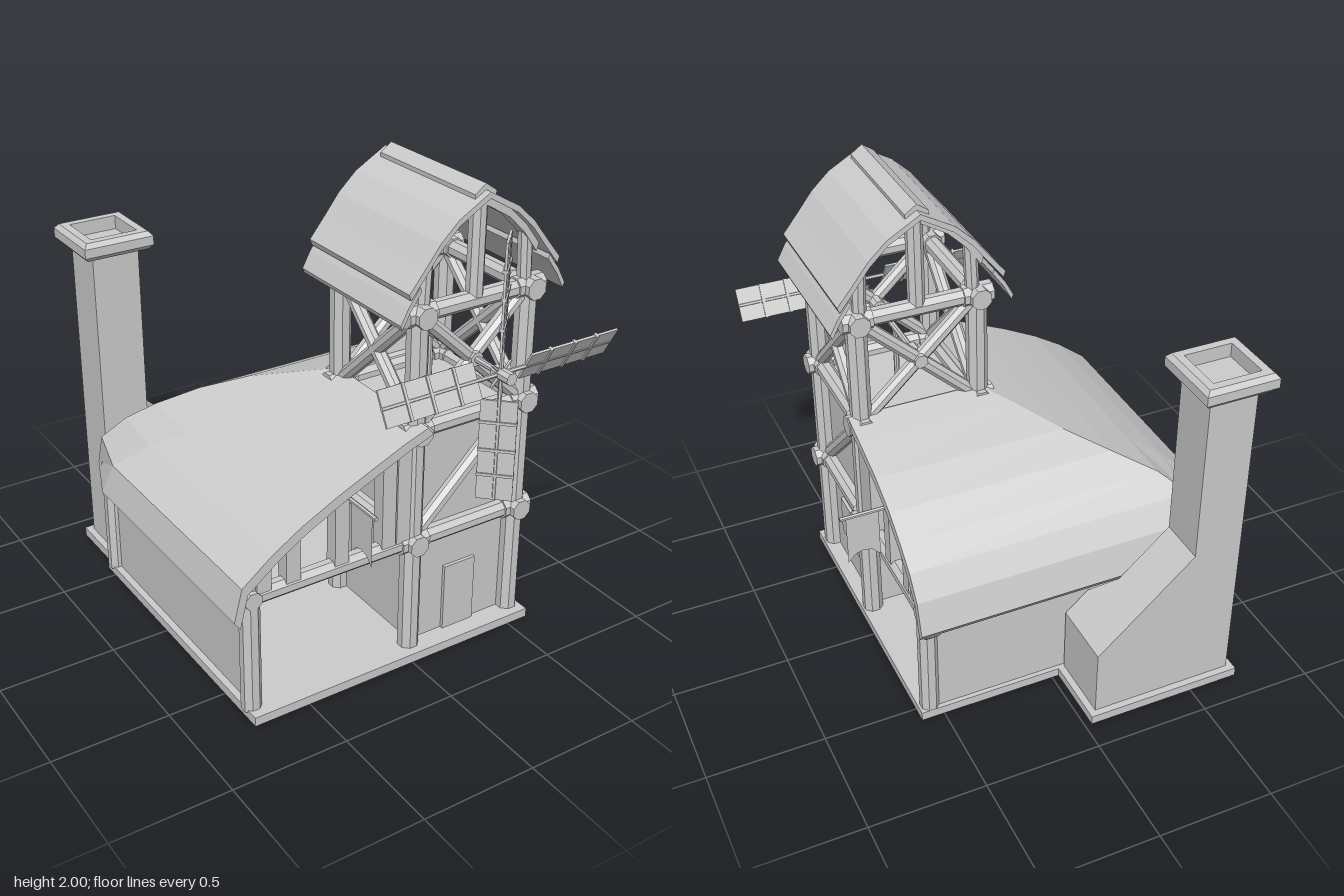
import * as THREE from 'three';

const mat = new THREE.MeshStandardMaterial({ color: 0xcccccc, flatShading: true, side: THREE.DoubleSide });
const V = (x, y, z) => new THREE.Vector3(x, y, z);

export function createModel() {
  const root = new THREE.Group();
  const add = (name, geo, parent = root) => {
    const m = new THREE.Mesh(geo, mat);
    m.name = name;
    parent.add(m);
    return m;
  };
  // Box given by its min and max corners
  const box = (name, x0, x1, y0, y1, z0, z1, parent) => {
    const g = new THREE.BoxGeometry(x1 - x0, y1 - y0, z1 - z0);
    return add(name, g.translate((x0 + x1) / 2, (y0 + y1) / 2, (z0 + z1) / 2), parent);
  };
  // Eight-sided timber from a to b
  const beam = (name, a, b, r = 0.038, sides = 8, parent = root) => {
    const d = b.clone().sub(a);
    const g = new THREE.CylinderGeometry(r, r, d.length(), sides).rotateY(Math.PI / sides);
    const m = add(name, g, parent);
    m.position.copy(a).add(b).multiplyScalar(0.5);
    m.quaternion.setFromUnitVectors(V(0, 1, 0), d.normalize());
    return m;
  };
  // Skin over closed cross-sections, with strip caps at both ends
  const skin = (name, rings) => {
    const n = rings[0].length, pos = [];
    const quad = (a, b, c, d) => [a, b, c, a, c, d].forEach(p => pos.push(p.x, p.y, p.z));
    for (let i = 0; i + 1 < rings.length; i++)
      for (let j = 0; j < n; j++) {
        const k = (j + 1) % n;
        quad(rings[i][j], rings[i][k], rings[i + 1][k], rings[i + 1][j]);
      }
    for (const [r, flip] of [[rings[0], true], [rings.at(-1), false]])
      for (let j = 0; j < n / 2 - 1; j++) {
        const q = [r[j], r[j + 1], r[n - 2 - j], r[n - 1 - j]];
        quad(...(flip ? q.reverse() : q));
      }
    const g = new THREE.BufferGeometry();
    g.setAttribute('position', new THREE.Float32BufferAttribute(pos, 3));
    g.computeVertexNormals();
    return add(name, g);
  };
  const rect = (x0, x1, z0, z1, y) => [V(x0, y, z1), V(x1, y, z1), V(x1, y, z0), V(x0, y, z0)];

  // Base slabs and house walls
  box('floorSlab', -0.75, 0.6, 0, 0.04, -0.57, 0.74);
  box('chimneySlab', -0.72, -0.03, 0, 0.04, -0.88, -0.57);
  box('leftWall', -0.72, -0.69, 0.04, 0.63, -0.54, 0.68);
  box('backWall', -0.7, 0.56, 0.04, 0.63, -0.55, -0.52);

  // House frame
  for (const [x, z] of [[-0.72, 0.66], [-0.72, -0.53], [0.55, -0.53]]) beam('housePost', V(x, 0.03, z), V(x, 0.56, z), 0.042);
  beam('frontBeam', V(-0.75, 0.545, 0.66), V(0.03, 0.545, 0.66));
  beam('sideBeam', V(0.55, 0.545, 0.14), V(0.55, 0.545, -0.56));
  beam('leftBeam', V(-0.72, 0.545, 0.7), V(-0.72, 0.545, -0.55));
  beam('backBeam', V(-0.74, 0.545, -0.53), V(0.59, 0.545, -0.53));

  // Curved house roof: left slope, chamfered hip, back slope
  const Y = [1.09, 1.05, 0.99, 0.92, 0.84, 0.76, 0.66, 0.52];
  const X = [0.03, -0.08, -0.22, -0.38, -0.54, -0.67, -0.8, -0.835];
  const Z = [0.13, 0, -0.18, -0.32, -0.43, -0.52, -0.59, -0.63];
  const hipA = [0, 0.06, 0.2, 0.3, 0.3, 0.28, 0.26, 0.25];
  const hipB = [0, 0, 0, 0, 0, 0.03, 0.07, 0.1];
  const section = (f, top = 0, depth = 0.032) => {
    const at = o => Y.map((y, i) => f(i, y - o * 1.1, o * 0.8));
    return [...at(top), ...at(top + depth).reverse()];
  };
  const frontAt = z => (i, y, o) => V(X[i] + o, y, z);
  const sideAt = x => (i, y, o) => V(x, y, Z[i] + o);
  skin('houseRoof', [
    section(frontAt(0.75)),
    section((i, y, o) => V(X[i] + o, y, Z[i] + hipA[i] + o)),
    section((i, y, o) => V(X[i] + hipB[i] + o, y, Z[i] + o)),
    section(sideAt(0.61)),
  ]);
  skin('frontRafter', [section(frontAt(0.69), 0.03), section(frontAt(0.63), 0.03)]);
  skin('sideRafter', [section(sideAt(0.58), 0.03), section(sideAt(0.52), 0.03)]);

  // Studs between beam and roof
  const roofY = (line, v) => {
    const i = Math.max(1, line.findIndex(p => p < v));
    return THREE.MathUtils.mapLinear(v, line[i - 1], line[i], Y[i - 1], Y[i]) - 0.03;
  };
  for (const x of [-0.67, -0.54, -0.32, -0.1, -0.03]) box('frontStud', x - 0.032, x + 0.032, 0.56, roofY(X, x - 0.03), 0.63, 0.69);
  for (const z of [-0.47, -0.39, -0.19, 0.02, 0.08]) box('sideStud', 0.52, 0.58, 0.56, roofY(Z, z - 0.03), z - 0.03, z + 0.03);

  // Swallowtail banners on rods
  const flag = new THREE.Shape([[0, 0], [0.14, 0], [0.14, -0.23], [0.105, -0.195], [0.07, -0.185], [0.035, -0.195], [0, -0.23]].map(p => new THREE.Vector2(...p)));
  for (const [x, y, z, ry, s] of [[0.61, 0.843, -0.19, 0, 1], [-0.32, 0.885, 0.75, -Math.PI / 2, 0.98]]) {
    const g = new THREE.Group();
    g.name = 'banner';
    g.position.set(x, y, z);
    g.rotation.y = ry;
    add('bannerCloth', new THREE.ShapeGeometry(flag), g).scale.set(s, s, 1);
    beam('bannerRod', V(-0.08, 0, 0), V(0.165, 0, 0), 0.009, 6, g);
    root.add(g);
  }

  // Fireplace with opening
  const hearth = new THREE.Shape([[-0.68, 0.04], [-0.07, 0.04], [-0.07, 0.39], [-0.68, 0.39]].map(p => new THREE.Vector2(...p)));
  hearth.holes.push(new THREE.Path([[-0.58, 0.12], [-0.58, 0.31], [-0.18, 0.31], [-0.18, 0.12]].map(p => new THREE.Vector2(...p))));
  add('fireplace', new THREE.ExtrudeGeometry(hearth, { depth: 0.12, bevelEnabled: false }).translate(0, 0, -0.53));

  // Chimney and hollow cap
  skin('chimney', [
    rect(-0.69, -0.06, -0.85, -0.56, 0.04), rect(-0.69, -0.06, -0.85, -0.56, 0.34),
    rect(-0.69, -0.16, -0.85, -0.56, 0.43), rect(-0.69, -0.26, -0.85, -0.64, 0.52),
    rect(-0.69, -0.48, -0.85, -0.64, 0.72), rect(-0.69, -0.48, -0.85, -0.64, 1.48),
  ]);
  skin('chimneyCap', [[0.1, 1.47], [0.14, 1.47], [0.157, 1.49], [0.157, 1.53], [0.14, 1.55], [0.105, 1.55], [0.105, 1.49], [0.01, 1.49]]
    .map(([h, y]) => rect(-0.585 - h, -0.585 + h, -0.75 - h, -0.75 + h, y)));

  // Tower walls, door and window
  const tx = [0.03, 0.55], tz = [0.14, 0.66], cx = 0.29, cz = 0.4;
  box('towerWalls', 0.045, 0.535, 0.04, 1.03, 0.155, 0.645);
  box('door', 0.21, 0.365, 0.04, 0.345, 0.64, 0.66);
  box('window', 0.53, 0.55, 0.2, 0.39, 0.28, 0.51);

  // Tower posts, ring beams and their octagonal ends
  for (const x of tx) for (const z of tz) {
    beam('towerPost', V(x, 0.03, z), V(x, 1.53, z), 0.045);
    beam('upperPost', V(x + (x < cx ? 0.015 : -0.015), 1.5, z), V(x + (x < cx ? 0.025 : -0.025), 1.76, z), 0.03);
    for (const y of [0.54, 1.04, 1.53]) {
      beam('beamEndX', V(x - 0.065, y, z), V(x + 0.065, y, z), 0.046);
      beam('beamEndZ', V(x, y, z - 0.065), V(x, y, z + 0.065), 0.046);
    }
  }
  for (const y of [0.54, 1.04, 1.53]) {
    for (const z of tz) beam('ringBeamX', V(tx[0], y, z), V(tx[1], y, z));
    for (const x of tx) beam('ringBeamZ', V(x, y, tz[0]), V(x, y, tz[1]));
  }

  // Braces: single on the middle storey, crossed on the open storey
  beam('frontBrace', V(0.05, 0.56, 0.65), V(0.53, 1.02, 0.65), 0.033);
  beam('sideBrace', V(0.54, 0.56, 0.64), V(0.54, 1.02, 0.16), 0.033);
  for (const [a, b] of [[1.06, 1.51], [1.51, 1.06]]) {
    for (const z of tz) beam('crossBrace', V(0.05, a, z), V(0.53, b, z), 0.03);
    for (const x of tx) beam('crossBrace', V(x, a, 0.16), V(x, b, 0.64), 0.03);
  }

  // Arched tower roof, lower flaps, ridge cap and gable frames
  const arch = (name, half, t, z0, z1) => {
    const ring = z => [
      ...half.map(([d, y]) => V(cx + d, y, z)),
      ...half.map(([d, y]) => V(cx + d * (1 - t), y - t, z)).reverse(),
    ];
    skin(name, [ring(z0), ring(z1)]);
  };
  const mirror = p => [...p.map(([d, y]) => [-d, y]), ...p.slice(0, -1).reverse()];
  const curve = [[0.355, 1.65], [0.29, 1.73], [0.22, 1.82], [0.14, 1.895], [0, 1.975]];
  arch('towerRoof', mirror(curve), 0.025, 0.06, 0.73);
  for (const s of [-1, 1]) arch('roofFlap', [[0.39, 1.535], [0.355, 1.6], [0.305, 1.67]].map(([d, y]) => [s * d, y]), 0.02, 0.06, 0.73);
  arch('ridgeCap', [[-0.05, 1.965], [0, 2], [0.05, 1.965]], 0.03, 0.1, 0.7);
  for (const z of tz) {
    arch('gableRafter', mirror(curve.slice(1).map(([d, y]) => [d * 0.97, y - 0.02])), 0.035, z - 0.03, z + 0.03);
    beam('kingPost', V(cx, 1.53, z), V(cx, 1.95, z), 0.036);
  }

  // Mill shaft, drive rod and hub
  const hy = 1.29;
  beam('millShaft', V(cx, hy, 0.12), V(cx, hy, 0.88), 0.014);
  for (const z of [0.16, 0.64]) beam('shaftBearing', V(cx, hy, z - 0.06), V(cx, hy, z + 0.06), 0.03);
  beam('driveRod', V(cx, 1.03, cz), V(cx, hy, cz), 0.012);
  beam('hub', V(cx, hy, 0.81), V(cx, hy, 0.91), 0.026);

  // Four twisted sails with battens
  for (let k = 0; k < 4; k++) {
    const sail = new THREE.Group();
    sail.name = 'sail';
    sail.position.set(cx, hy, 0.845);
    sail.rotation.z = k * Math.PI / 2;
    const blade = new THREE.Group();
    blade.name = 'blade';
    blade.rotation.x = k % 2 ? 0.78 : 0.5;
    sail.add(blade);
    box('sailBoard', 0.115, 0.55, -0.072, 0.072, -0.005, 0.005, blade);
    for (const r of [0.21, 0.33, 0.44]) box('batten', r - 0.006, r + 0.006, -0.074, 0.074, -0.011, 0.011, blade);
    beam('sailSpar', V(0, 0, 0), V(0.55, 0, 0), 0.009, 6, blade);
    beam('hubPeg', V(0, 0, 0), V(0.045, 0.045, 0), 0.006, 6, sail);
    root.add(sail);
  }
  return root;
}
